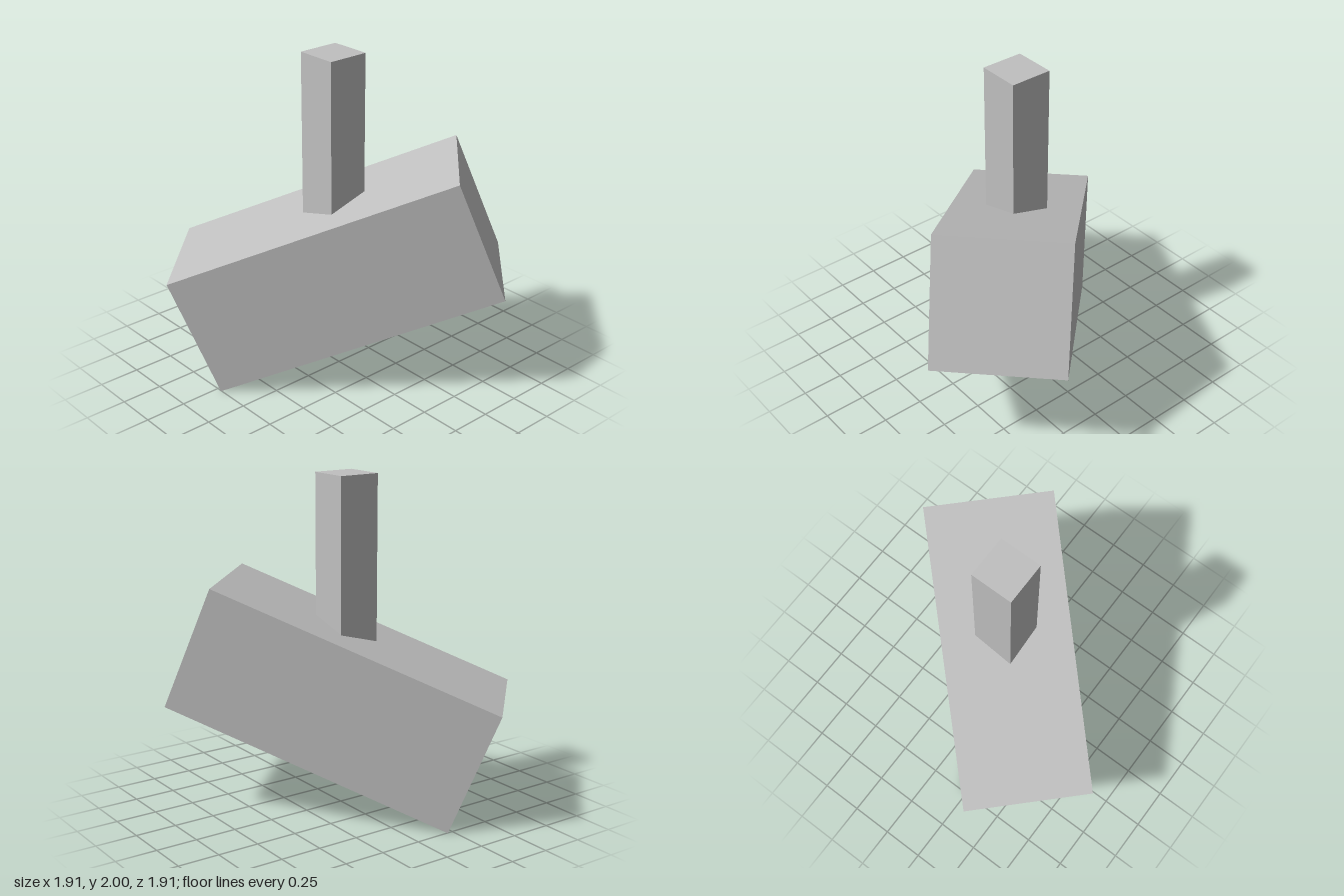
import * as THREE from 'three';

export function createModel() {
  const model = new THREE.Group();
  model.name = 'mallet';
  const grey = new THREE.MeshStandardMaterial({ color: 0xc0c0c0 });
  grey.name = 'light grey';

  const addBox = (name, size, position) => {
    const mesh = new THREE.Mesh(new THREE.BoxGeometry(...size), grey);
    mesh.name = name;
    mesh.position.set(...position);
    model.add(mesh);
    return mesh;
  };

  // Long block, tilted 22 degrees and turned to the diagonal
  const head = addBox('head', [1.785, 0.765, 0.765], [0, 0.689, 0]);
  head.rotation.set(0, -Math.PI / 4, THREE.MathUtils.degToRad(22));

  // Upright square post, sunk a little into the block
  addBox('handle', [0.255, 1.02, 0.255], [-0.023, 1.49, -0.023]);

  return model;
}
